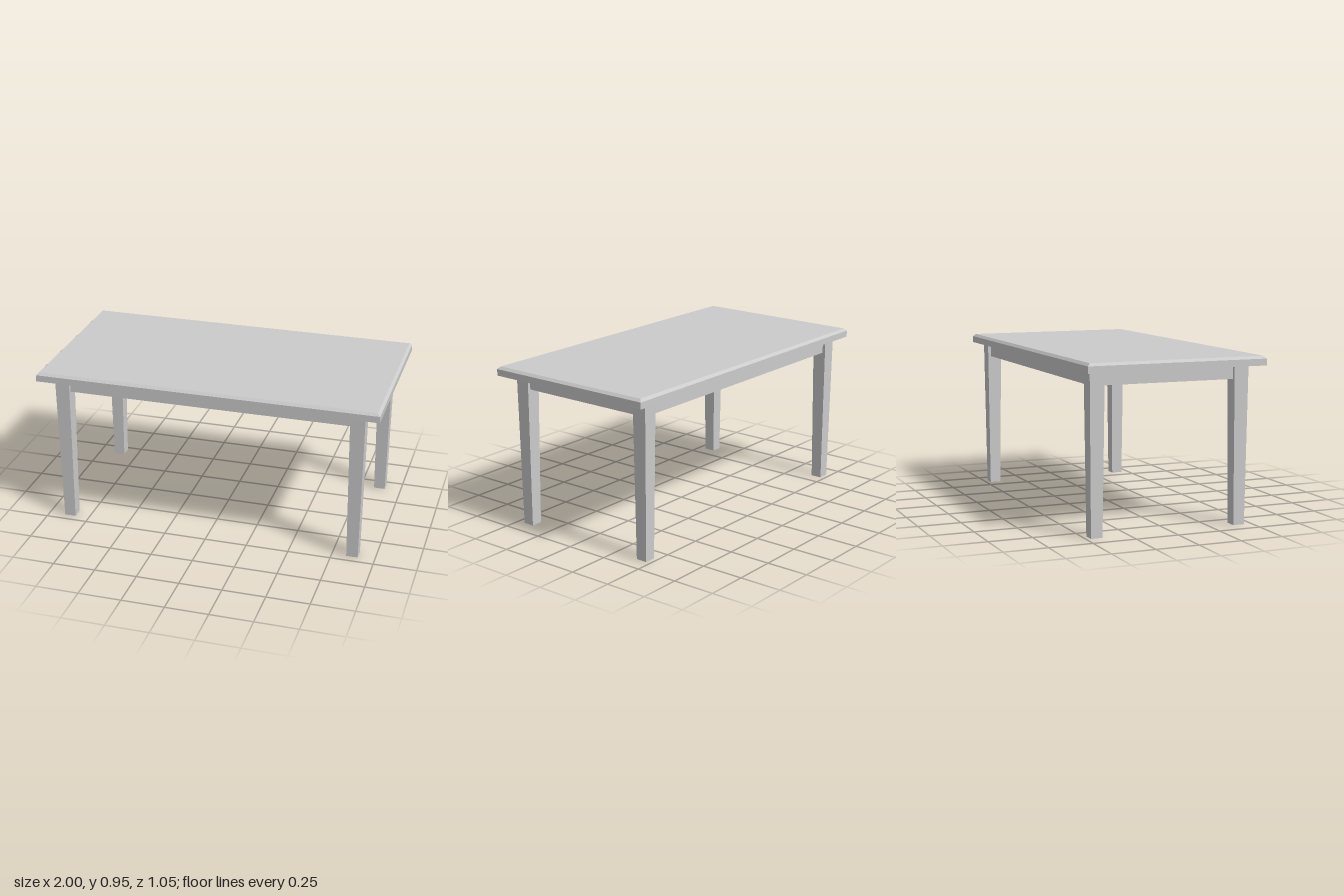
import * as THREE from 'three';

const material = new THREE.MeshStandardMaterial({ color: 0xcccccc, flatShading: true });

// Box whose ends are scaled: sx, sz at the named end ('top' or 'bottom')
function taperedBox(w, h, d, sx, sz, end) {
  const geometry = new THREE.BoxGeometry(w, h, d);
  const p = geometry.attributes.position;
  for (let i = 0; i < p.count; i++) {
    if ((p.getY(i) > 0) === (end === 'top')) {
      p.setX(i, p.getX(i) * sx);
      p.setZ(i, p.getZ(i) * sz);
    }
  }
  geometry.computeVertexNormals();
  return geometry;
}

export function createModel() {
  const table = new THREE.Group();
  table.name = 'table';

  function add(name, geometry, x, y, z) {
    const mesh = new THREE.Mesh(geometry, material);
    mesh.name = name;
    mesh.position.set(x, y, z);
    table.add(mesh);
  }

  const width = 2, depth = 1.054, bevel = 0.015;
  const slabBottom = 0.902, slabTop = 0.94, top = 0.955;
  const legX = 0.868, legFront = 0.42, legBack = -0.439, legTop = 0.086, legFoot = 0.067;
  const apronBottom = 0.823, apronThickness = 0.05;

  // Table top: straight slab with a chamfered upper edge
  const slabHeight = slabTop - slabBottom;
  add('tableTop', new THREE.BoxGeometry(width, slabHeight, depth), 0, slabBottom + slabHeight / 2, 0);
  add('tableTopBevel',
    taperedBox(width, top - slabTop, depth, 1 - 2 * bevel / width, 1 - 2 * bevel / depth, 'top'),
    0, (slabTop + top) / 2, 0);

  // Four legs narrowing towards the floor
  const taper = legFoot / legTop;
  for (const [side, x] of [['Left', legX], ['Right', -legX]]) {
    for (const [end, z] of [['front', legFront], ['back', legBack]]) {
      add(`${end}${side}Leg`, taperedBox(legTop, slabBottom, legTop, taper, taper, 'bottom'), x, slabBottom / 2, z);
    }
  }

  // Apron rails between the legs, set back from their outer faces
  const apronHeight = slabBottom - apronBottom;
  const apronY = apronBottom + apronHeight / 2;
  for (const [name, z] of [['frontApron', legFront], ['backApron', legBack]]) {
    add(name, new THREE.BoxGeometry(2 * legX - legTop + 0.01, apronHeight, apronThickness), 0, apronY, z);
  }
  for (const [name, x] of [['leftApron', legX], ['rightApron', -legX]]) {
    add(name, new THREE.BoxGeometry(apronThickness, apronHeight, legFront - legBack - legTop + 0.01),
      x, apronY, (legFront + legBack) / 2);
  }

  return table;
}
